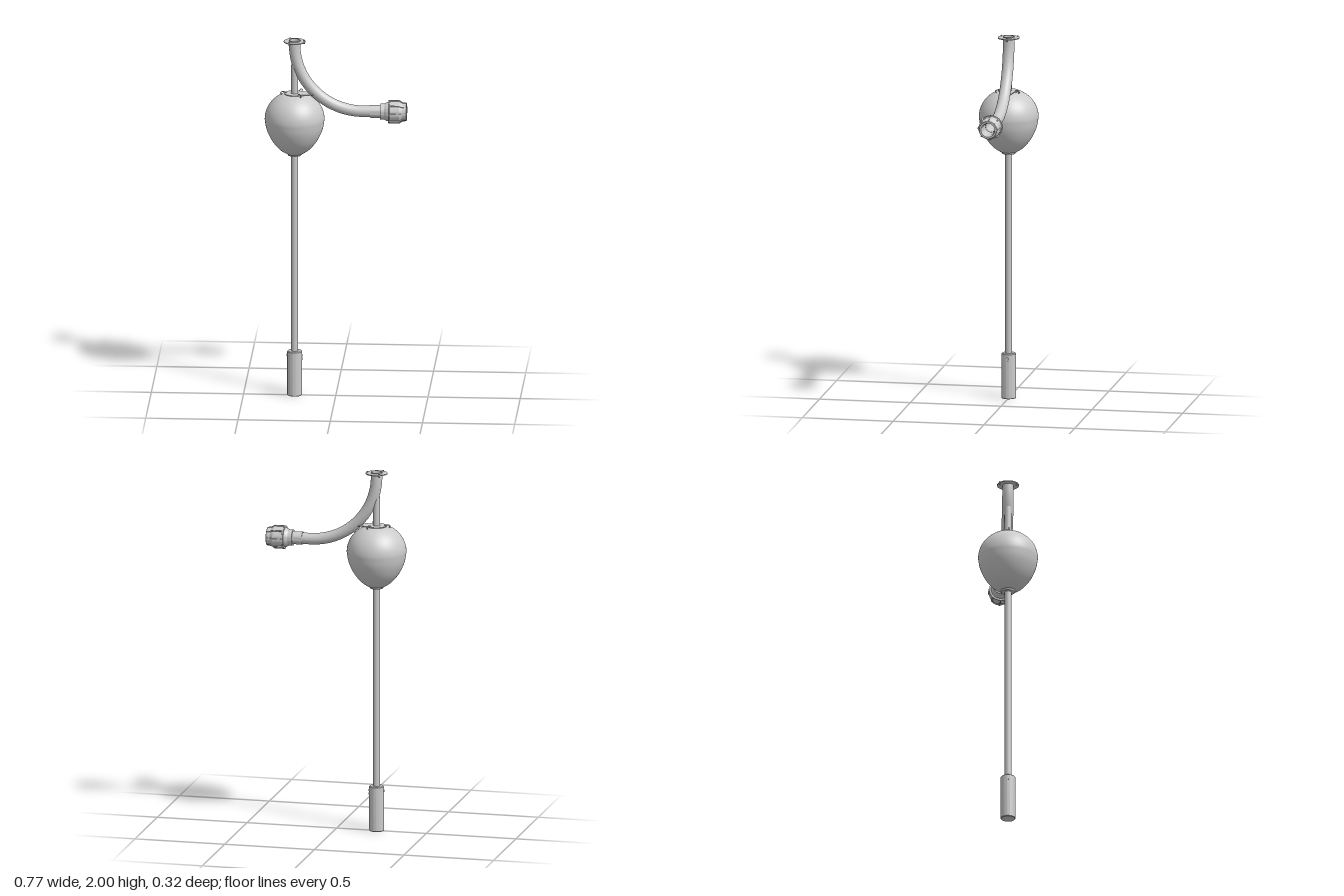
import * as THREE from 'three';
import { toCreasedNormals } from 'three/addons/utils/BufferGeometryUtils.js';

const AXIS = -0.223; // x of the vertical rod
const ARM_Y = 1.605; // height of the horizontal outlet
const BEND = 0.37; // radius of the arm's bend

export function createModel() {
  const root = new THREE.Group();
  const grey = new THREE.MeshStandardMaterial({ color: 0xcccccc, side: THREE.DoubleSide });

  const add = (name, geo, parent, x = 0, y = 0, z = 0) => {
    const mesh = new THREE.Mesh(geo, grey);
    mesh.name = name;
    mesh.position.set(x, y, z);
    parent.add(mesh);
    return mesh;
  };
  const group = (name, x = 0, y = 0, z = 0) => {
    const g = new THREE.Group();
    g.name = name;
    g.position.set(x, y, z);
    root.add(g);
    return g;
  };
  const lathe = (pts, crease = 0.5, seg = 48) =>
    toCreasedNormals(new THREE.LatheGeometry(pts.map(p => new THREE.Vector2(...p)), seg), crease);

  // Everything on the vertical axis
  const column = group('column', AXIS);
  add('rod', new THREE.CylinderGeometry(0.019, 0.019, 1.64, 32), column, 0, 1.04);

  // Bottom weight with set screws on its sides
  add('counterweight', lathe([[0, 0], [0.037, 0], [0.04, 0.003], [0.04, 0.246], [0.036, 0.25], [0, 0.25]]), column);
  for (const [x, y] of [[0.04, 0.224], [0.04, 0.205], [-0.04, 0.224]]) {
    const screw = add('setScrew', new THREE.CylinderGeometry(0.007, 0.007, 0.006, 16), column, x, y);
    screw.rotation.z = Math.PI / 2;
  }

  // Egg-shaped float: round upper half, tapering lower half
  const floatProfile = [[0.019, 1.362], [0.045, 1.362]];
  const lower = new THREE.SplineCurve([[0.045, 1.362], [0.085, 1.39], [0.125, 1.44], [0.152, 1.50], [0.162, 1.555]]
    .map(p => new THREE.Vector2(...p)));
  lower.getPoints(20).slice(1).forEach(p => floatProfile.push([p.x, p.y]));
  for (let i = 1; i <= 16; i++) {
    const a = i / 16 * 1.14;
    floatProfile.push([0.162 * Math.cos(a), 1.555 + 0.153 * Math.sin(a)]);
  }
  floatProfile.push([0.019, 1.695]);
  add('float', lathe(floatProfile, 0.6, 64), column);
  add('lowerCollar', new THREE.CylinderGeometry(0.04, 0.036, 0.012, 32), column, 0, 1.358);

  // Flat bracket above the float, its tongue reaching to the arm
  const plate = new THREE.Shape();
  plate.absarc(0, 0, 0.055, 0.75, Math.PI * 2 - 0.75, false);
  plate.lineTo(0.1, -0.03);
  plate.lineTo(0.1, 0.03);
  plate.closePath();
  const bracketGeo = new THREE.ExtrudeGeometry(plate, { depth: 0.004, bevelEnabled: false, curveSegments: 32 });
  bracketGeo.rotateX(-Math.PI / 2);
  add('bracket', bracketGeo, column, 0, 1.697);

  // Three small wire loops around the top of the float
  for (let i = 0; i < 3; i++) {
    const a = Math.PI / 3 + i * Math.PI * 2 / 3;
    const loop = add('wireLoop', new THREE.TorusGeometry(0.012, 0.0025, 8, 24), column,
      0.061 * Math.cos(a), 1.7, 0.061 * Math.sin(a));
    loop.rotation.y = -a;
    loop.scale.set(1.2, 0.75, 1);
  }

  // Top flange with a bore and three bolts
  const ring = new THREE.Shape().absarc(0, 0, 0.059, 0, Math.PI * 2, false);
  ring.holes.push(new THREE.Path().absarc(0, 0, 0.028, 0, Math.PI * 2, true));
  const flangeGeo = new THREE.ExtrudeGeometry(ring, { depth: 0.005, bevelEnabled: false, curveSegments: 32 });
  flangeGeo.rotateX(-Math.PI / 2);
  add('flange', flangeGeo, column, 0, 1.989);
  for (let i = 0; i < 3; i++) {
    const a = i * Math.PI * 2 / 3;
    add('flangeBolt', new THREE.CylinderGeometry(0.004, 0.004, 0.02, 12), column,
      0.053 * Math.cos(a), 1.99, 0.053 * Math.sin(a));
  }

  // Hollow arm: straight down, quarter bend, then out along +x
  const points = [[AXIS, 2, 0], [AXIS, 1.987, 0]];
  for (let i = 0; i <= 24; i++) {
    const a = i / 24 * Math.PI / 2;
    points.push([AXIS + BEND * (1 - Math.cos(a)), ARM_Y + BEND * (1 - Math.sin(a)), 0]);
  }
  points.push([0.2, ARM_Y, 0], [0.26, ARM_Y, 0]);
  const path = new THREE.CatmullRomCurve3(points.map(p => new THREE.Vector3(...p)));
  const arm = group('arm');
  add('armOuter', new THREE.TubeGeometry(path, 80, 0.031, 32), arm);
  add('armInner', new THREE.TubeGeometry(path, 80, 0.028, 32), arm);
  const rim = add('armRim', new THREE.RingGeometry(0.028, 0.031, 32), arm, AXIS, 2);
  rim.rotation.x = -Math.PI / 2;

  // Outlet coupling, turned about its own axis and laid along +x
  const coupling = group('coupling', 0, ARM_Y);
  coupling.rotation.z = -Math.PI / 2;
  add('sleeve', lathe([[0.03, 0.188], [0.035, 0.188], [0.035, 0.242], [0.044, 0.242], [0.044, 0.265],
    [0.05, 0.274], [0.053, 0.287], [0.03, 0.287], [0.028, 0.188]], 0.4), coupling);
  add('nut', lathe([[0.034, 0.286], [0.063, 0.286], [0.063, 0.292], [0.058, 0.294], [0.059, 0.345],
    [0.049, 0.362], [0.049, 0.383], [0.047, 0.385], [0.038, 0.385], [0.033, 0.365], [0.031, 0.27]], 0.4), coupling);

  // Grip ribs following the nut's outline
  const ribShape = new THREE.Shape([[0.055, 0.286], [0.065, 0.286], [0.065, 0.345], [0.053, 0.364],
    [0.051, 0.384], [0.045, 0.384], [0.045, 0.36]].map(p => new THREE.Vector2(...p)));
  const ribGeo = new THREE.ExtrudeGeometry(ribShape, { depth: 0.006, bevelEnabled: false });
  ribGeo.translate(0, 0, -0.003);
  for (let i = 0; i < 8; i++) {
    add('gripRib', ribGeo, coupling).rotation.y = i * Math.PI / 4;
  }

  return root;
}
